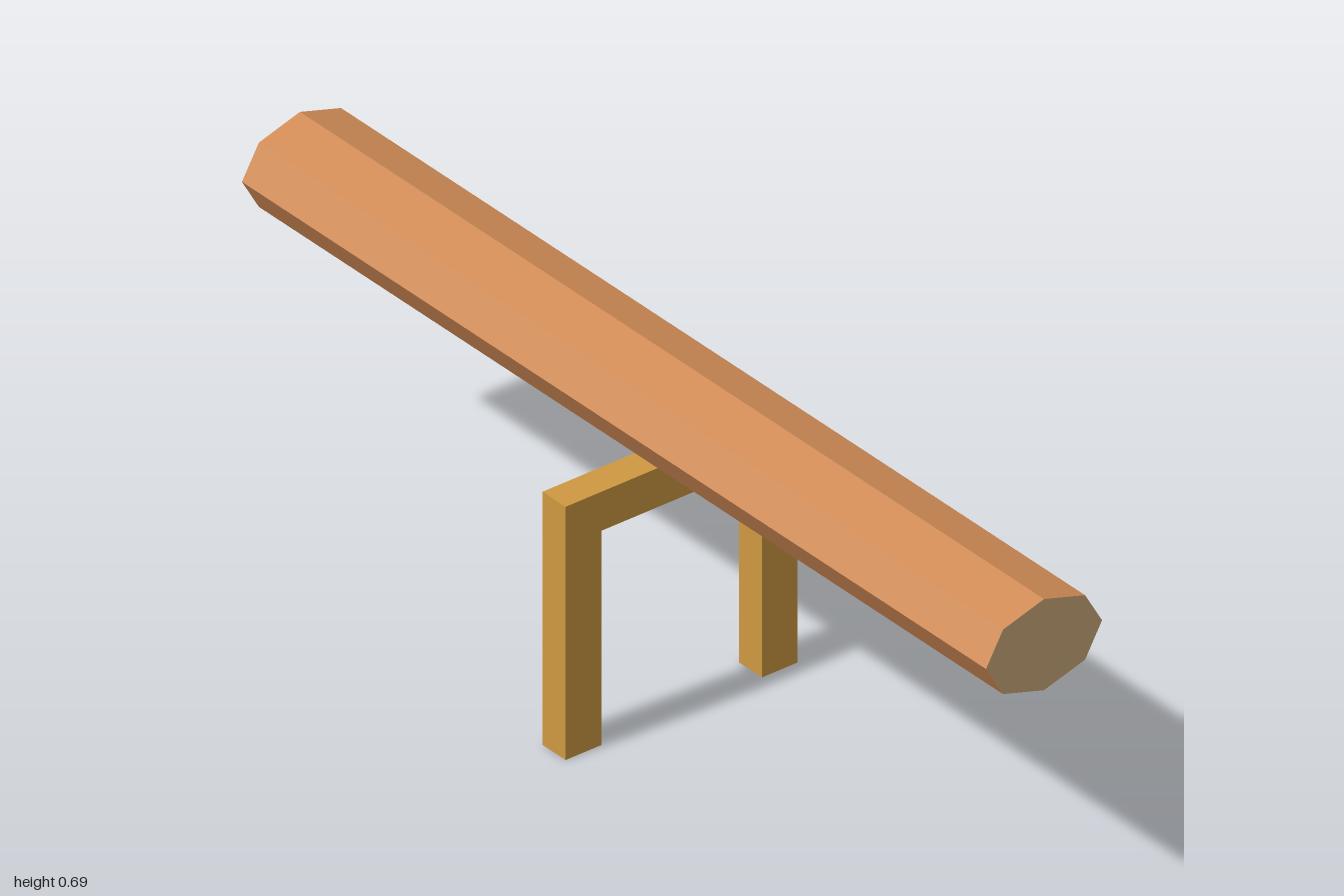
import * as THREE from 'three';

const stain = new THREE.MeshStandardMaterial({ color: 0xcf9942, side: THREE.DoubleSide });
stain.name = 'standWood';
const bark = new THREE.MeshStandardMaterial({ color: 0xd08b56, flatShading: true });
bark.name = 'bark';
const cutWood = new THREE.MeshStandardMaterial({ color: 0xcfac7a });
cutWood.name = 'cutWood';

// Log: flattened octagonal beam along z with pale cut ends
function makeLog() {
  const geometry = new THREE.CylinderGeometry(1, 1, 2, 8);
  geometry.rotateX(Math.PI / 2);
  geometry.scale(0.125, 0.09, 1);
  const log = new THREE.Mesh(geometry, [bark, cutWood, cutWood]);
  log.position.y = 0.6;
  log.name = 'log';
  return log;
}

// Stand: square arch with hollow feet (no faces on the ground)
function makeStand() {
  const arch = new THREE.Shape([
    [-0.25, 0], [-0.173, 0], [-0.173, 0.423], [0.173, 0.423],
    [0.173, 0], [0.25, 0], [0.25, 0.5], [-0.25, 0.5],
  ].map(([x, y]) => new THREE.Vector2(x, y)));
  const solid = new THREE.ExtrudeGeometry(arch, { depth: 0.062, bevelEnabled: false });
  const source = solid.toNonIndexed().getAttribute('position').array;
  const kept = [];
  for (let i = 0; i < source.length; i += 9) {
    const onGround = [1, 4, 7].every((k) => Math.abs(source[i + k]) < 1e-5);
    if (!onGround) kept.push(...source.slice(i, i + 9));
  }
  const geometry = new THREE.BufferGeometry();
  geometry.setAttribute('position', new THREE.Float32BufferAttribute(kept, 3));
  geometry.computeVertexNormals();
  const stand = new THREE.Mesh(geometry, stain);
  stand.position.z = -0.036;
  stand.name = 'stand';
  return stand;
}

export function createModel() {
  const model = new THREE.Group();
  model.name = 'logOnStand';
  model.add(makeLog(), makeStand());
  return model;
}
